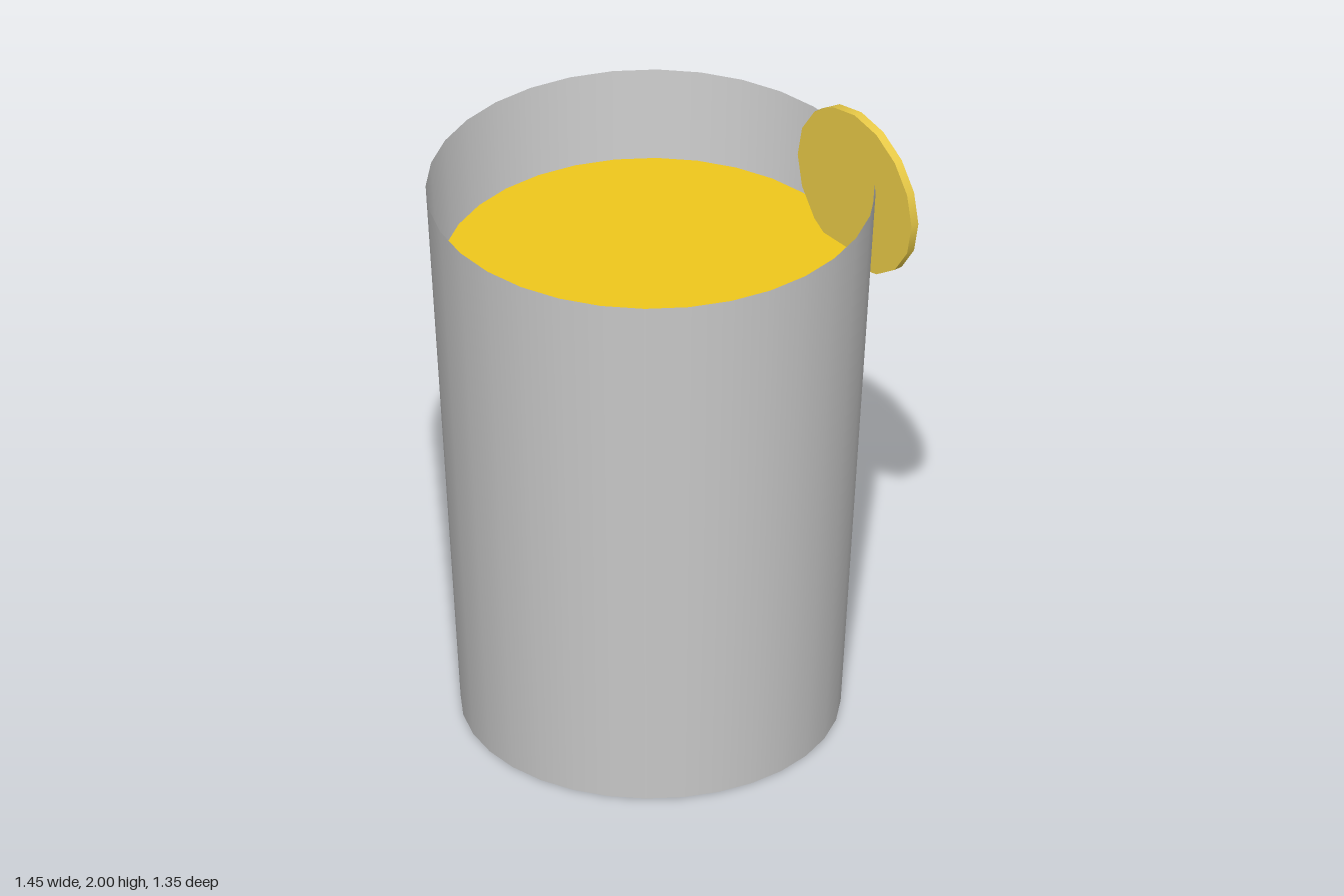
import * as THREE from 'three';

export function createModel() {
  const model = new THREE.Group();
  const glass = new THREE.MeshStandardMaterial({ color: 0xcccccc, side: THREE.DoubleSide });
  const juice = new THREE.MeshStandardMaterial({ color: 0xf0c81c });
  const rind = new THREE.MeshStandardMaterial({ color: 0xebcc48 });

  const height = 1.8, liquidTop = 1.515, cupX = -0.055;

  const add = (parent, name, geometry, material) => {
    const mesh = new THREE.Mesh(geometry, material);
    mesh.name = name;
    parent.add(mesh);
    return mesh;
  };

  // Tapered tumbler: thin open wall and a flat base
  const cup = new THREE.Group();
  cup.name = 'cup';
  cup.position.x = cupX;
  model.add(cup);
  add(cup, 'cupWall', new THREE.CylinderGeometry(0.675, 0.57, height, 32, 1, true)
    .translate(0, height / 2, 0), glass);
  add(cup, 'cupBase', new THREE.CircleGeometry(0.57, 32).rotateX(Math.PI / 2), glass);

  // Drink, slightly narrower than the wall
  add(cup, 'liquid', new THREE.CylinderGeometry(0.63, 0.535, liquidTop - 0.02, 32)
    .translate(0, (liquidTop + 0.02) / 2, 0), juice);

  // Fruit slice standing on edge across the rim
  const slice = add(model, 'fruitSlice',
    new THREE.CylinderGeometry(0.267, 0.267, 0.027, 16).rotateX(Math.PI / 2), rind);
  slice.position.set(0.576, 1.733, 0);
  slice.rotation.y = -Math.PI / 3;

  return model;
}
